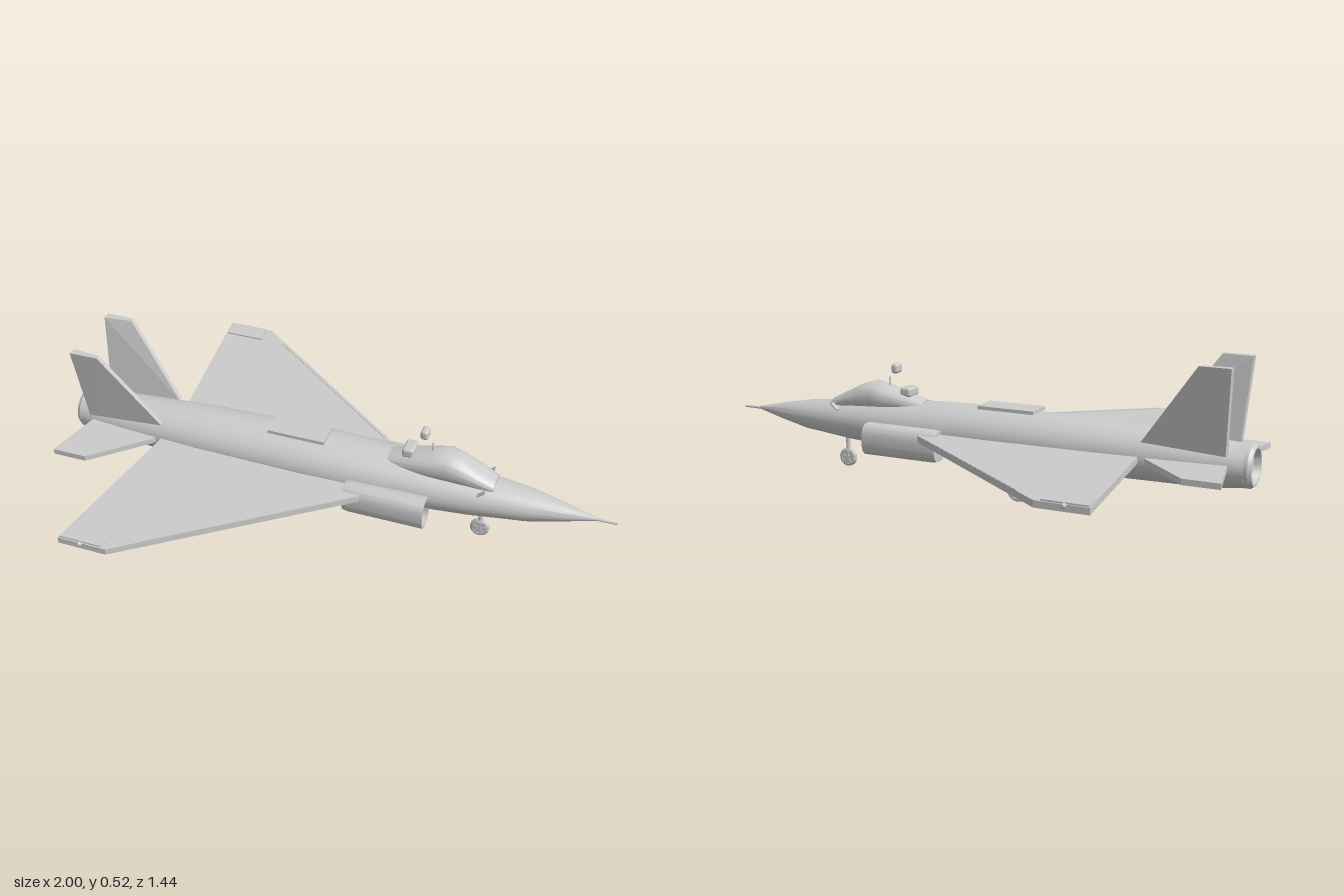
import * as THREE from 'three';
import { toCreasedNormals } from 'three/addons/utils/BufferGeometryUtils.js';
import { ConvexGeometry } from 'three/addons/geometries/ConvexGeometry.js';
import { RoundedBoxGeometry } from 'three/addons/geometries/RoundedBoxGeometry.js';

const material = new THREE.MeshStandardMaterial({ color: 0xcccccc });

// Skin over rings along x; a station is [x, halfWidth, yBottom, yTop]
function loft(stations, power = 2, segments = 40) {
  const pos = [], index = [];
  const sup = (v) => Math.sign(v) * Math.abs(v) ** (2 / power);
  for (const [x, w, y0, y1] of stations) {
    for (let j = 0; j < segments; j++) {
      const t = (j / segments) * Math.PI * 2;
      pos.push(x, (y0 + y1) / 2 + sup(Math.sin(t)) * (y1 - y0) / 2, sup(Math.cos(t)) * w);
    }
  }
  const n = stations.length, last = (n - 1) * segments;
  for (let i = 0; i < n - 1; i++) {
    for (let j = 0; j < segments; j++) {
      const a = i * segments + j, b = i * segments + (j + 1) % segments;
      index.push(a, a + segments, b, b, a + segments, b + segments);
    }
  }
  // End caps
  const c = n * segments, s = stations[0], e = stations[n - 1];
  pos.push(s[0], (s[2] + s[3]) / 2, 0, e[0], (e[2] + e[3]) / 2, 0);
  for (let j = 0; j < segments; j++) {
    const k = (j + 1) % segments;
    index.push(c, j, k, c + 1, last + k, last + j);
  }
  const g = new THREE.BufferGeometry();
  g.setAttribute('position', new THREE.Float32BufferAttribute(pos, 3));
  g.setIndex(index);
  return toCreasedNormals(g, 0.6);
}

// Flat plate from [x, z] corners between two heights
function plate(corners, y0, y1) {
  return new ConvexGeometry(corners.flatMap(([x, z]) =>
    [new THREE.Vector3(x, y0, z), new THREE.Vector3(x, y1, z)]));
}

export function createModel() {
  const model = new THREE.Group();
  const add = (name, geometry, x = 0, y = 0, z = 0, parent = model) => {
    const m = new THREE.Mesh(geometry, material);
    m.name = name;
    m.position.set(x, y, z);
    parent.add(m);
    return m;
  };
  const box = (name, w, h, d, x, y, z) => add(name, new THREE.BoxGeometry(w, h, d), x, y, z);

  // Fuselage, nose probe and exhaust
  add('fuselage', loft([
    [-0.975, 0.078, 0.12, 0.26], [-0.9, 0.086, 0.11, 0.265], [-0.8, 0.096, 0.105, 0.273],
    [-0.5, 0.114, 0.103, 0.288], [-0.1, 0.122, 0.103, 0.297], [0.15, 0.117, 0.105, 0.291],
    [0.35, 0.106, 0.112, 0.28], [0.5, 0.092, 0.121, 0.268], [0.7, 0.064, 0.14, 0.248],
    [0.82, 0.035, 0.165, 0.226], [0.93, 0.006, 0.191, 0.202],
  ]));
  add('noseProbe', new THREE.CylinderGeometry(0.004, 0.005, 0.08, 10), 0.96, 0.195, 0).rotation.z = -Math.PI / 2;
  const nozzleProfile = [[0.074, -0.02], [0.074, 0.018], [0.066, 0.03], [0.058, 0.03], [0.05, 0.008], [0, 0.008]];
  const nozzle = new THREE.LatheGeometry(nozzleProfile.map((p) => new THREE.Vector2(...p)), 32);
  add('exhaustNozzle', toCreasedNormals(nozzle, 0.4), -0.97, 0.191, 0).rotation.z = Math.PI / 2;

  // Canopy with cockpit fittings
  add('canopy', loft([
    [0.2, 0.045, 0.24, 0.292], [0.27, 0.055, 0.24, 0.313], [0.35, 0.064, 0.235, 0.334],
    [0.41, 0.065, 0.235, 0.348], [0.46, 0.062, 0.235, 0.332], [0.52, 0.056, 0.235, 0.302],
    [0.58, 0.045, 0.225, 0.272],
  ], 2.3));
  add('headrest', new RoundedBoxGeometry(0.042, 0.035, 0.07, 2, 0.01), 0.27, 0.32, 0);
  add('helmet', new RoundedBoxGeometry(0.028, 0.036, 0.044, 3, 0.011), 0.322, 0.4, 0);
  add('aerial', new THREE.CylinderGeometry(0.002, 0.003, 0.05, 8), 0.35, 0.342, 0);
  box('dorsalPanel', 0.21, 0.012, 0.1, -0.135, 0.298, 0);

  for (const s of [1, -1]) {
    const side = s > 0 ? 'right' : 'left';
    const mirror = (pts) => pts.map(([x, z]) => [x, z * s]);

    // Wing with tip panel, leading edge strip and tip light
    add(side + 'Wing', plate(mirror([[-0.63, 0.05], [-0.715, 0.71], [-0.54, 0.71], [0.14, 0.175], [0.2, 0.09]]), 0.182, 0.204));
    add(side + 'TipPanel', plate(mirror([[-0.7, 0.63], [-0.71, 0.705], [-0.56, 0.705], [-0.55, 0.63]]), 0.2, 0.209));
    add(side + 'LeadingEdgeStrip', plate(mirror([[-0.46, 0.63], [-0.455, 0.642], [0.13, 0.182], [0.12, 0.175]]), 0.184, 0.206));
    add(side + 'TipLight', new THREE.SphereGeometry(0.009, 12, 8), -0.635, 0.2, 0.71 * s);

    // Tailplane
    add(side + 'Tailplane', plate(mirror([[-0.92, 0.05], [-0.97, 0.293], [-0.845, 0.293], [-0.67, 0.12], [-0.64, 0.07]]), 0.183, 0.203));

    // Outward-canted fin, thicker towards the rear
    const finSections = [[-0.925, 0.235, 0.084, 0.015], [-0.64, 0.25, 0.08, 0.009],
      [-0.945, 0.525, 0.128, 0.015], [-0.84, 0.525, 0.132, 0.009]];
    add(side + 'Fin', new ConvexGeometry(finSections.flatMap(([x, y, z, t]) =>
      [new THREE.Vector3(x, y, s * (z - t)), new THREE.Vector3(x, y, s * (z + t))])));

    // Hollow air intake
    add(side + 'Intake', loft([
      [0.08, 0.042, 0.11, 0.217], [0.1, 0.044, 0.106, 0.22], [0.37, 0.044, 0.106, 0.22],
      [0.37, 0.038, 0.113, 0.213], [0.28, 0.036, 0.115, 0.21],
    ], 2.6), 0, 0, 0.128 * s);

    // Small nose vane
    const vane = box(side + 'NoseVane', 0.035, 0.005, 0.018, 0.545, 0.25, 0.07 * s);
    vane.rotation.z = 0.7;
  }

  // Spoked wheels
  const wheel = (name, r, w, x, y, z) => {
    const g = new THREE.Group();
    g.name = name;
    g.position.set(x, y, z);
    const h = w / 2;
    const profile = [[0.72 * r, -h], [0.9 * r, -h], [r, -0.6 * h], [r, 0.6 * h], [0.9 * r, h], [0.72 * r, h], [0.72 * r, -h]];
    const tyre = new THREE.LatheGeometry(profile.map((p) => new THREE.Vector2(...p)), 28);
    add('tyre', toCreasedNormals(tyre, 0.9), 0, 0, 0, g).rotation.x = Math.PI / 2;
    add('rim', new THREE.CylinderGeometry(0.74 * r, 0.74 * r, w * 0.6, 28), 0, 0, 0, g).rotation.x = Math.PI / 2;
    add('hub', new THREE.CylinderGeometry(0.18 * r, 0.18 * r, w * 1.05, 16), 0, 0, 0, g).rotation.x = Math.PI / 2;
    for (let i = 0; i < 5; i++) {
      const a = Math.PI / 2 + (i * Math.PI * 2) / 5;
      const spoke = add('spoke', new THREE.BoxGeometry(0.7 * r, 0.14 * r, w * 0.95),
        Math.cos(a) * 0.4 * r, Math.sin(a) * 0.4 * r, 0, g);
      spoke.rotation.z = a;
    }
    model.add(g);
  };
  wheel('rightMainWheel', 0.042, 0.027, -0.215, 0.042, 0.106);
  wheel('leftMainWheel', 0.042, 0.027, -0.215, 0.042, -0.106);
  wheel('noseWheel', 0.034, 0.018, 0.535, 0.046, 0);
  add('noseStrut', new THREE.CylinderGeometry(0.008, 0.008, 0.075, 12), 0.535, 0.105, 0);

  return model;
}
